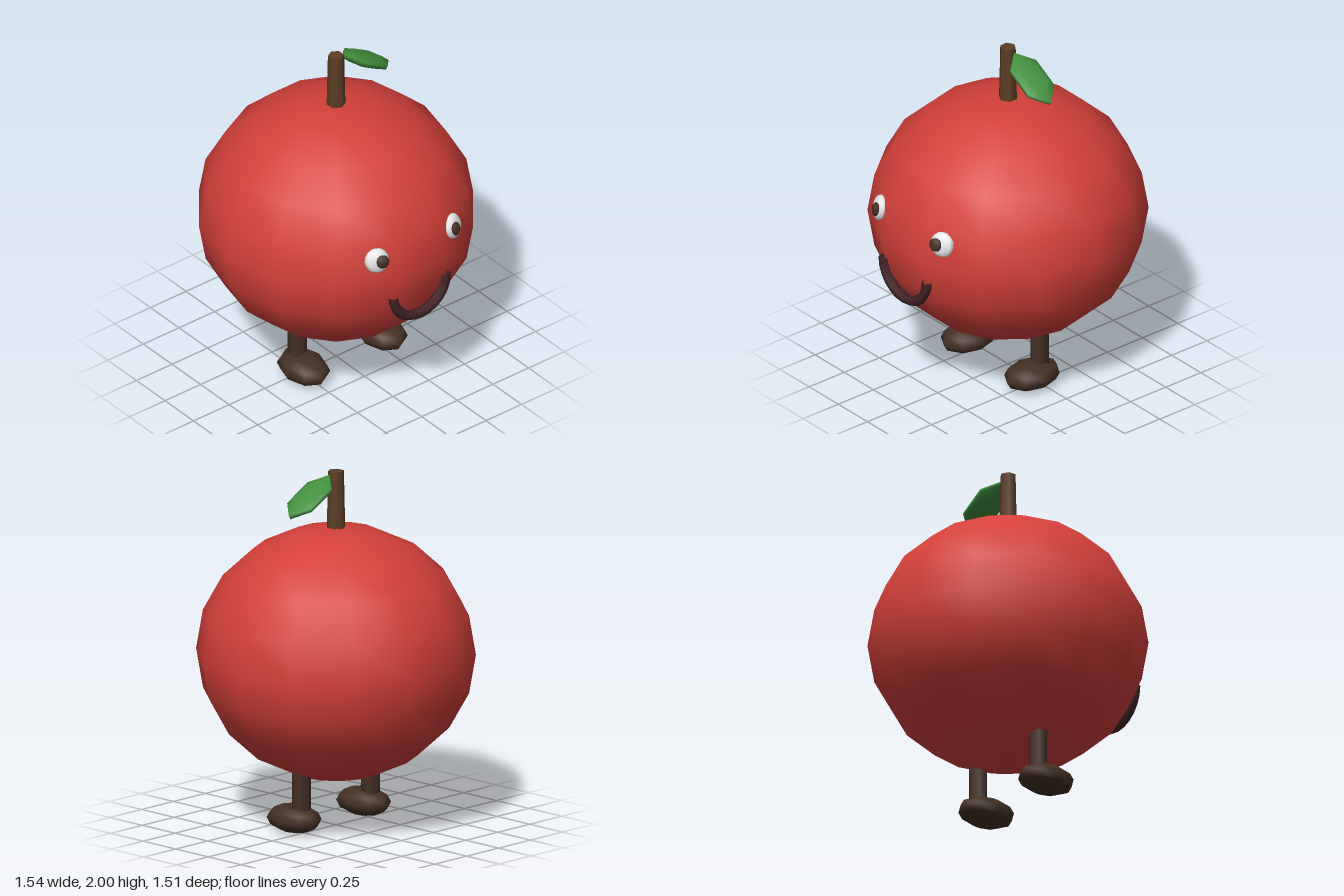
import * as THREE from 'three';

const mat = (name, color) => {
  const m = new THREE.MeshStandardMaterial({ color });
  m.name = name;
  return m;
};

export function createModel() {
  const red = mat('skin red', 0xd4403a);
  const bark = mat('stem brown', 0x5e3e24);
  const green = mat('leaf green', 0x42903e);
  const dark = mat('leg brown', 0x443024);
  const lip = mat('mouth maroon', 0x442527);
  const white = mat('eye white', 0xeeeeee);

  const root = new THREE.Group();
  root.name = 'fruitCharacter';

  const add = (name, geometry, material, x, y, z, parent = root) => {
    const mesh = new THREE.Mesh(geometry, material);
    mesh.name = name;
    mesh.position.set(x, y, z);
    parent.add(mesh);
    return mesh;
  };
  const ball = (rx, ry, rz, across, rows) =>
    new THREE.SphereGeometry(1, across, rows).scale(rx, ry, rz);

  // Round body, slightly squashed
  add('body', ball(0.77, 0.708, 0.77, 14, 10), red, 0, 0.98, 0);

  // Stem and drooping leaf
  add('stem', new THREE.CylinderGeometry(0.045, 0.054, 0.4, 6), bark, 0, 1.8, 0);
  const leaf = add('leaf', ball(0.19, 0.036, 0.11, 6, 5), green, 0.206, 1.888, 0);
  leaf.rotation.z = -0.51;

  // Smile: lower half of a ring
  const smile = new THREE.TorusGeometry(0.185, 0.03, 6, 12, Math.PI).rotateZ(Math.PI);
  lip.side = THREE.DoubleSide;
  add('mouth', smile, lip, 0, 0.865, 0.73);

  for (const [side, s] of [['left', 1], ['right', -1]]) {
    // Eye lies flat on the curved face, pupil looks inward
    const eye = new THREE.Group();
    eye.name = side + 'Eye';
    eye.position.set(s * 0.267, 1.122, 0.69);
    eye.rotation.set(-0.21, s * 0.44, 0, 'YXZ');
    root.add(eye);
    add(side + 'Eyeball', ball(0.07, 0.072, 0.036, 10, 8), white, 0, 0, 0, eye);
    add(side + 'Pupil', ball(0.038, 0.039, 0.02, 8, 6), dark, s * -0.026, 0, 0.031, eye);

    // Leg and foot
    add(side + 'Leg', new THREE.CylinderGeometry(0.054, 0.054, 0.4, 6), dark, s * 0.272, 0.28, 0);
    add(side + 'Foot', ball(0.125, 0.078, 0.175, 8, 6), dark, s * 0.272, 0.078, 0.055);
  }
  return root;
}
